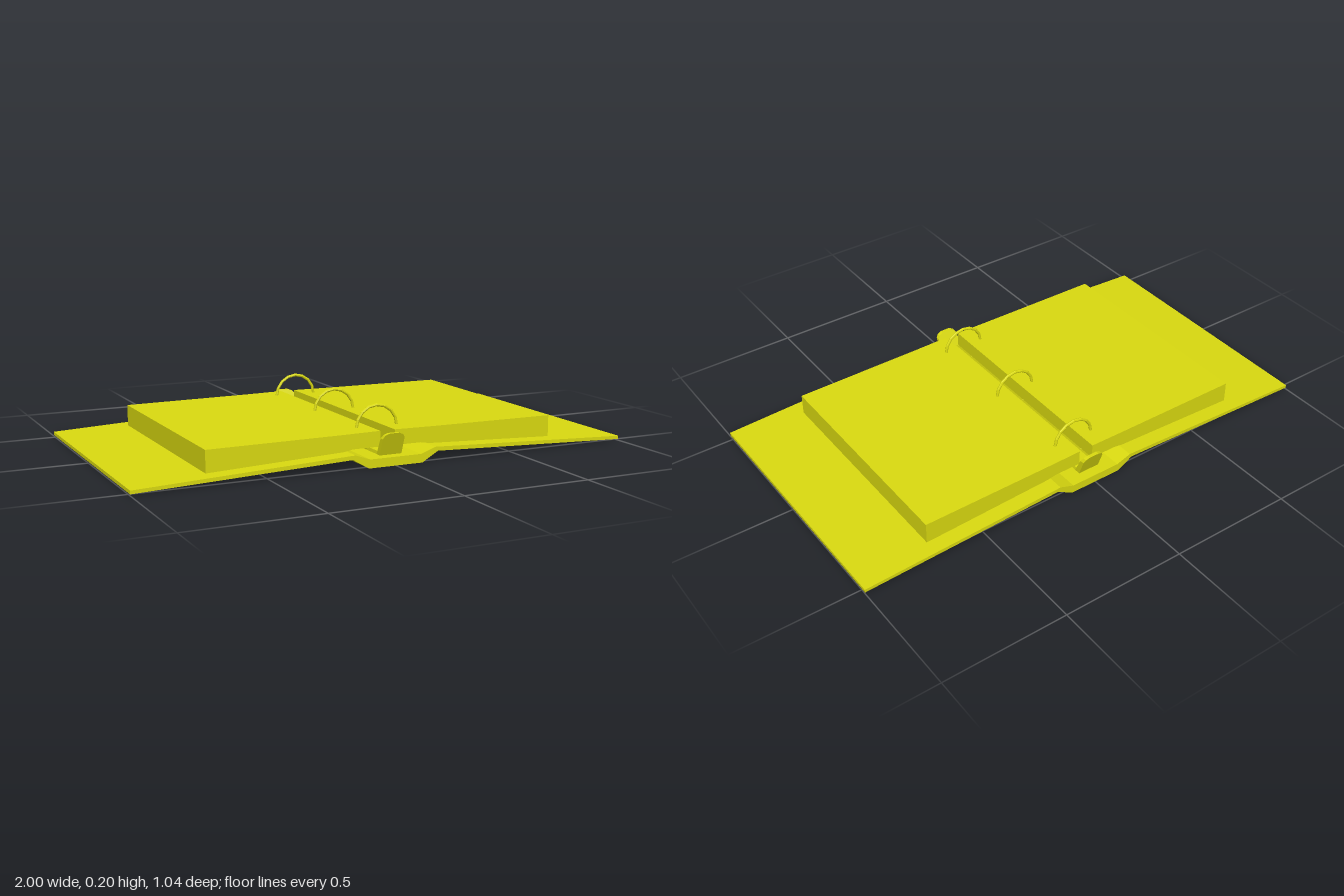
import * as THREE from 'three';

const material = new THREE.MeshStandardMaterial({ color: 0xdada10, flatShading: true });

// Extrudes an outline (x, y pairs) along z, centred on z
function slab(name, points, depth, z = 0) {
  const shape = new THREE.Shape(points.map(([x, y]) => new THREE.Vector2(x, y)));
  const geometry = new THREE.ExtrudeGeometry(shape, { depth, bevelEnabled: false });
  geometry.translate(0, 0, z - depth / 2);
  const mesh = new THREE.Mesh(geometry, material);
  mesh.name = name;
  return mesh;
}

// Completes a right-hand outline with its mirror image
const mirrored = (half) => [...half, ...half.slice().reverse().map(([x, y]) => [-x, y])];

export function createModel() {
  const group = new THREE.Group();
  group.name = 'openRingBinder';

  // Cover: spine, two hinges and two sloping boards in one folded sheet
  const under = [[0.11, 0], [0.175, 0.038], [1, 0.005]];
  const upper = [[1, 0.018], [0.165, 0.054], [0.105, 0.033]];
  group.add(slab('cover', mirrored([...under, ...upper].reverse()), 1.045));

  // Paper stacks on either side of the rings
  const stack = [[0.03, 0.06], [0.14, 0.06], [0.18, 0.053], [0.71, 0.03],
    [0.71, 0.114], [0.19, 0.117], [0.03, 0.119]];
  group.add(slab('leftPaperStack', stack, 0.915, -0.003));
  group.add(slab('rightPaperStack', stack.map(([x, y]) => [-x, y]).reverse(), 0.915, -0.003));

  // Ring mechanism rail on the spine
  group.add(slab('rail', mirrored([[0.045, 0.03], [0.042, 0.045], [0.025, 0.055]]), 0.93));

  // Three closed rings
  [-0.38, 0, 0.367].forEach((z, i) => {
    const ring = new THREE.Mesh(new THREE.TorusGeometry(0.085, 0.006, 8, 16), material);
    ring.name = `ring${i + 1}`;
    ring.position.set(0, 0.114, z);
    group.add(ring);
  });

  // Opening levers: rounded tabs that lean outwards and thin towards the tip
  const tab = mirrored([[0.045, 0.03], [0.045, 0.098], [0.037, 0.111], [0.02, 0.118]]);
  for (const side of [1, -1]) {
    const lever = slab(side > 0 ? 'frontLever' : 'backLever', tab, 1);
    const p = lever.geometry.attributes.position;
    for (let i = 0; i < p.count; i++) {
      const t = (p.getY(i) - 0.03) / 0.088;
      const outer = p.getZ(i) * side > 0;
      p.setZ(i, side * (outer ? 0.479 + 0.031 * t : 0.453 + 0.042 * t));
    }
    lever.geometry.computeVertexNormals();
    group.add(lever);
  }
  return group;
}
